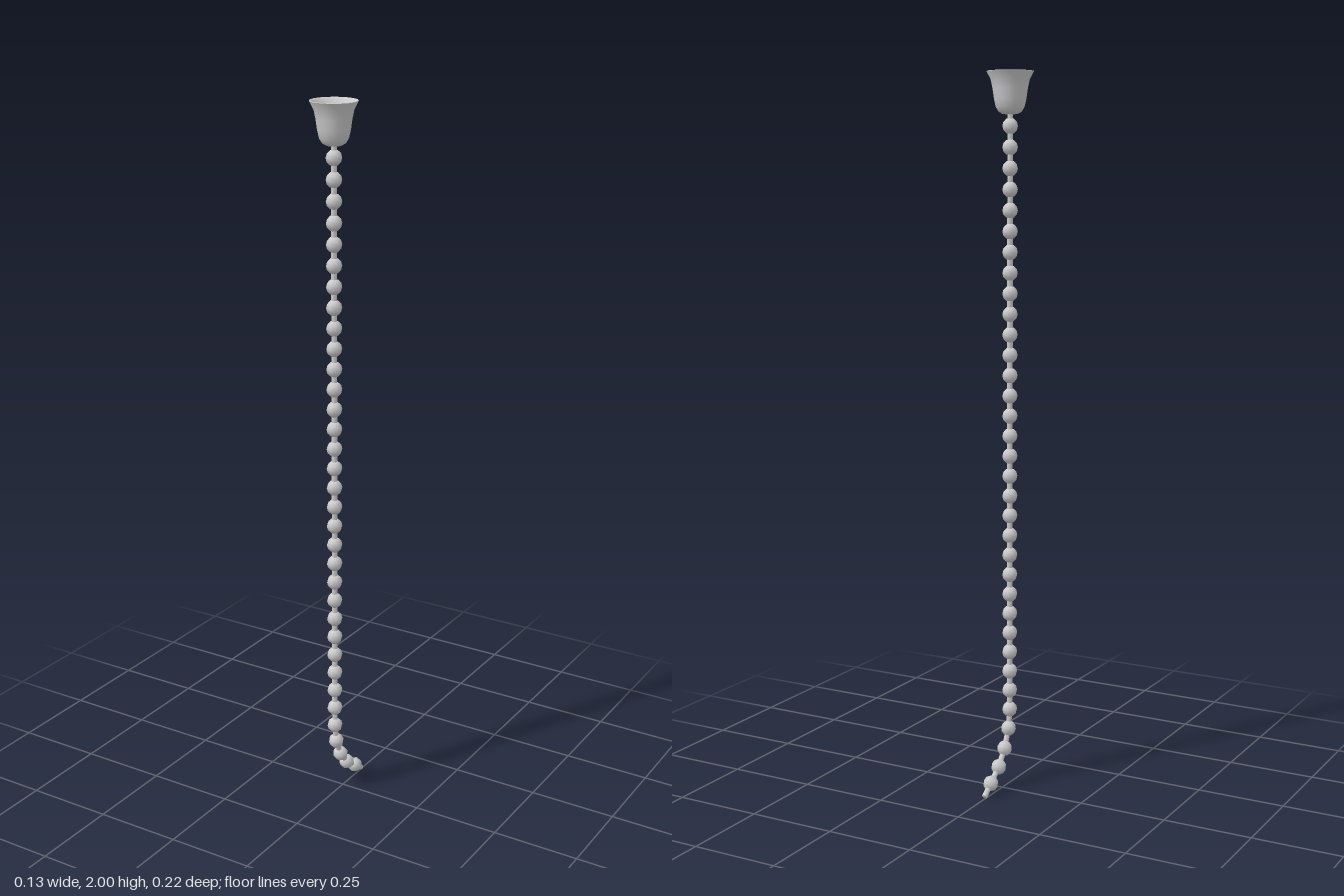
import * as THREE from 'three';
import { toCreasedNormals } from 'three/addons/utils/BufferGeometryUtils.js';

const CHAIN_Z = 0.044;
const BEAD_RADIUS = 0.022;
const LINK_RADIUS = 0.008;
const UP = new THREE.Vector3(0, 1, 0);

export function createModel() {
  const group = new THREE.Group();
  const material = new THREE.MeshStandardMaterial({ color: 0xcccccc });

  function add(name, geometry, parent = group) {
    const mesh = new THREE.Mesh(geometry, material);
    mesh.name = name;
    parent.add(mesh);
    return mesh;
  }

  // Flared bell cup: up the outer wall, over the rim, down the inner wall
  const profile = [
    [0, 1.885], [0.02, 1.886], [0.031, 1.892], [0.039, 1.905], [0.044, 1.927],
    [0.048, 1.955], [0.053, 1.978], [0.064, 1.999], [0.063, 2],
    [0.056, 1.995], [0.047, 1.977], [0.042, 1.955], [0.038, 1.927],
    [0.033, 1.909], [0.026, 1.898], [0, 1.894],
  ].map(([x, y]) => new THREE.Vector2(x, y));
  const cup = add('bellCup', toCreasedNormals(new THREE.LatheGeometry(profile, 16), 0.9));
  cup.position.z = CHAIN_Z;

  // Bead centres: a straight hanging run, then a curl towards the back
  const centres = [];
  for (let i = 0; i < 31; i++) {
    centres.push(new THREE.Vector3(0, 1.911 - i * 0.05637, CHAIN_Z));
  }
  for (const [y, z] of [[0.165, 0.037], [0.112, 0.014], [0.068, -0.021], [0.034, -0.067]]) {
    centres.push(new THREE.Vector3(0, y, z));
  }
  const tailEnd = new THREE.Vector3(0, 0.0065, -0.1035);

  const chain = new THREE.Group();
  chain.name = 'beadChain';
  group.add(chain);

  const beadGeometry = new THREE.SphereGeometry(BEAD_RADIUS, 8, 6);
  centres.forEach((centre, i) => {
    const next = centres[i + 1] ?? tailEnd;
    const previous = centres[i - 1] ?? centre;
    const along = previous.clone().sub(next).normalize();

    // Bead, turned to follow the chain
    const bead = add('bead', beadGeometry, chain);
    bead.position.copy(centre);
    bead.quaternion.setFromUnitVectors(UP, along);

    // Wire link to the next bead, or the loose tail after the last one
    const span = centre.clone().sub(next);
    const isTail = i === centres.length - 1;
    const link = add(isTail ? 'tailLink' : 'link',
      new THREE.CylinderGeometry(LINK_RADIUS, LINK_RADIUS, span.length(), 8, 1, !isTail), chain);
    link.position.copy(centre).add(next).multiplyScalar(0.5);
    link.quaternion.setFromUnitVectors(UP, span.normalize());
  });

  return group;
}
